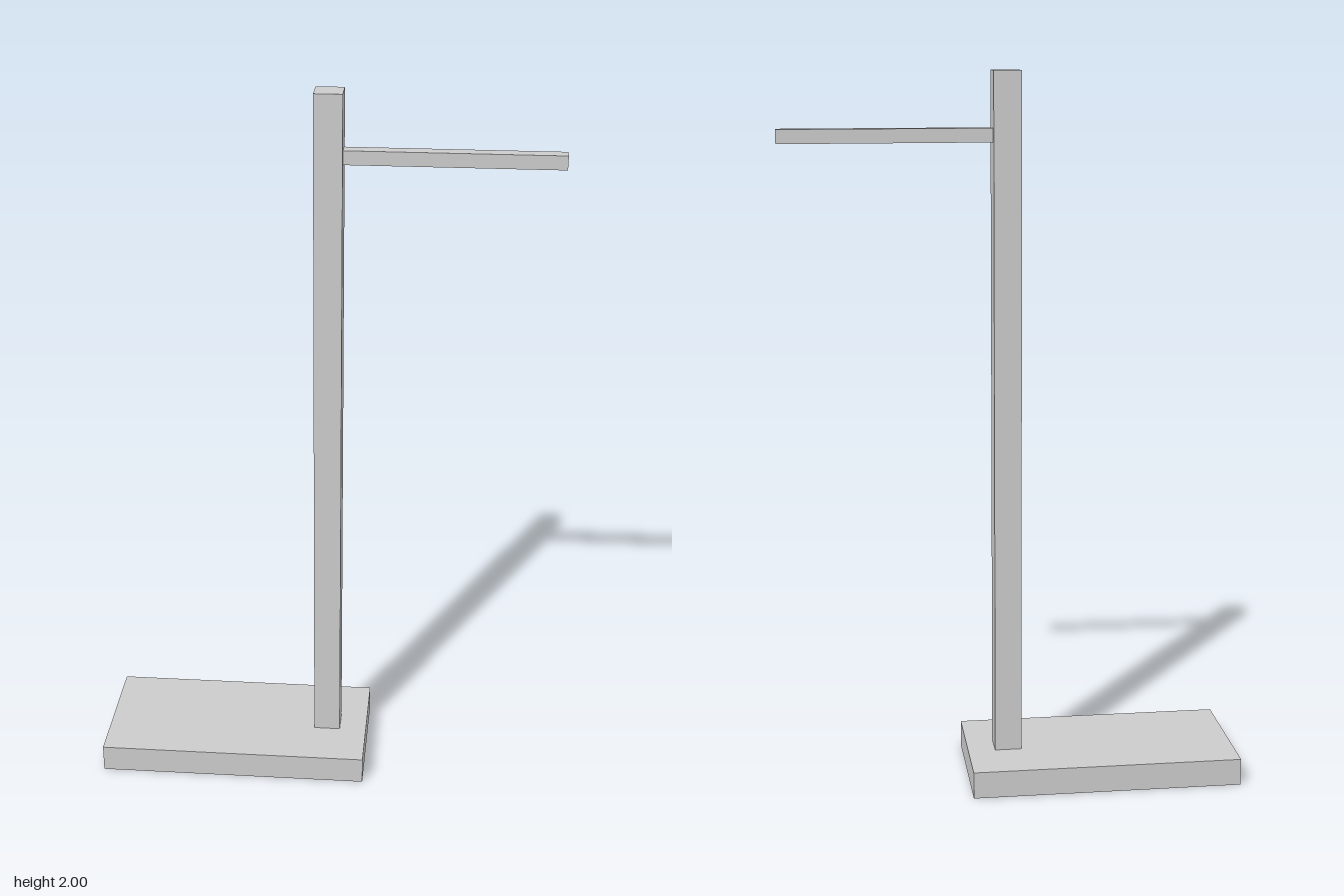
import * as THREE from 'three';

export function createModel() {
  const group = new THREE.Group();
  const material = new THREE.MeshStandardMaterial({ color: 0xcccccc, flatShading: true });

  // Box spanning [x0, x1] and [y0, y1], centred on z = 0
  const addBox = (name, x0, x1, y0, y1, depth) => {
    const mesh = new THREE.Mesh(new THREE.BoxGeometry(x1 - x0, y1 - y0, depth), material);
    mesh.position.set((x0 + x1) / 2, (y0 + y1) / 2, 0);
    mesh.name = name;
    group.add(mesh);
  };

  addBox('base', -0.633, 0.133, 0, 0.077, 0.383);     // slab foot, offset as counterweight
  addBox('post', -0.021, 0.055, 0.077, 2, 0.077);     // square upright
  addBox('arm', 0.055, 0.633, 1.81, 1.848, 0.038);    // thin side arm

  return group;
}
